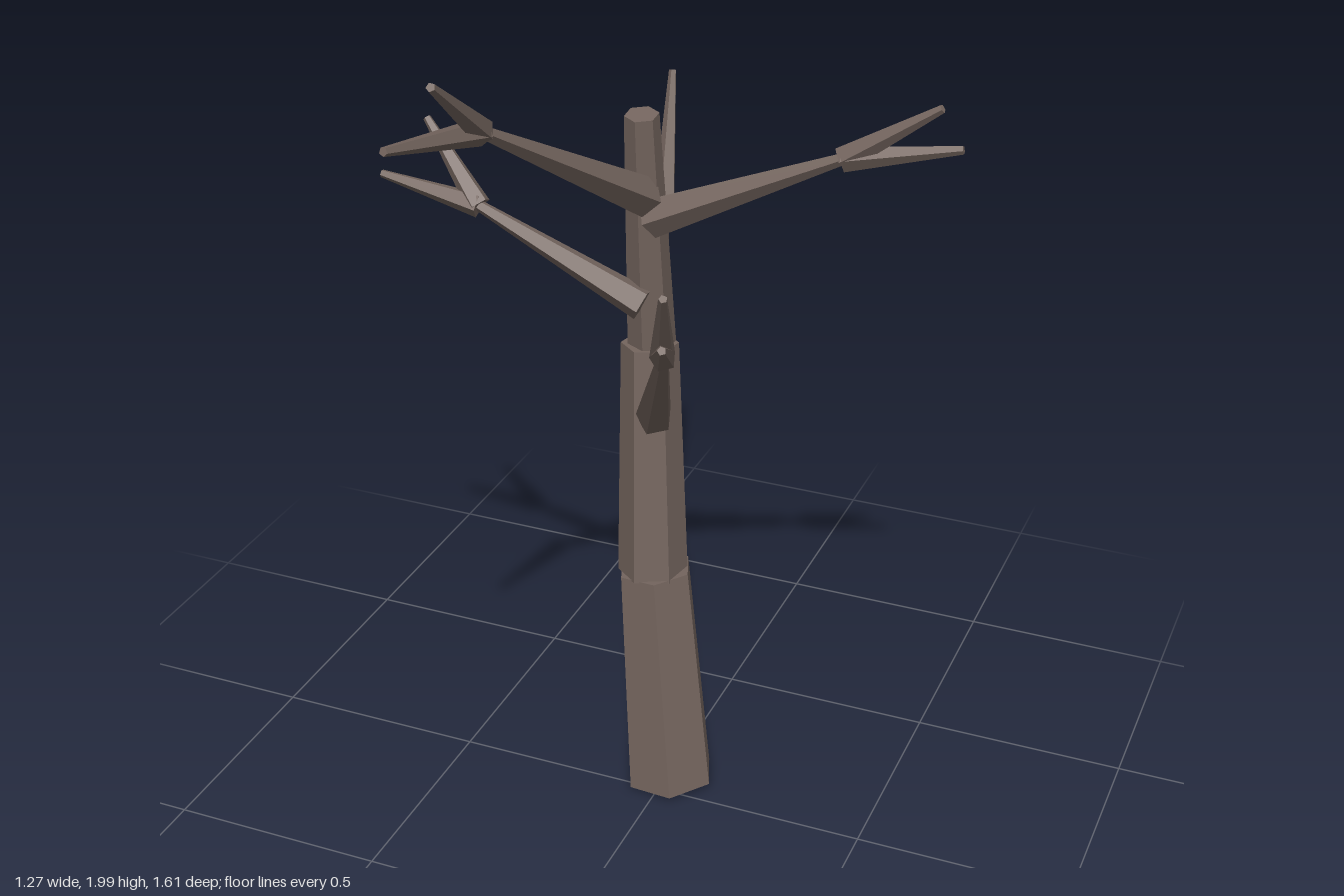
import * as THREE from 'three';

const bark = new THREE.MeshStandardMaterial({ color: 0x75665f, flatShading: true, roughness: 0.9 });
const UP = new THREE.Vector3(0, 1, 0);

// A straight tapered limb from point a (radius ra) to point b (radius rb)
function limb(name, a, b, ra, rb, sides, twistDeg = 0) {
  const start = new THREE.Vector3(...a);
  const end = new THREE.Vector3(...b);
  const axis = end.clone().sub(start);
  const geometry = new THREE.CylinderGeometry(rb, ra, axis.length(), sides, 1);
  geometry.rotateY(THREE.MathUtils.degToRad(twistDeg));
  const mesh = new THREE.Mesh(geometry, bark);
  mesh.name = name;
  mesh.position.copy(start).add(end).multiplyScalar(0.5);
  mesh.quaternion.setFromUnitVectors(UP, axis.normalize());
  return mesh;
}

// Branch with a fork of two twigs, each thicker at its base than the branch end
function branch(name, base, fork, tips, radius) {
  const group = new THREE.Group();
  group.name = name;
  group.add(limb('bough', base, fork, radius, 0.013, 5));
  tips.forEach((tip) => group.add(limb('twig', fork, tip, 0.028, 0.009, 5)));
  return group;
}

export function createModel() {
  const tree = new THREE.Group();
  tree.name = 'bareTree';

  // Trunk: three stacked six-sided sections, each a little narrower and bent
  tree.add(
    limb('lowerTrunk', [0.008, 0.011, -0.06], [-0.036, 0.575, -0.07], 0.108, 0.088, 6, 21),
    limb('middleTrunk', [-0.04, 0.57, -0.068], [-0.053, 1.14, -0.083], 0.08, 0.064, 6, 50),
    limb('upperTrunk', [-0.05, 1.13, -0.088], [-0.04, 1.695, -0.01], 0.054, 0.037, 6, 0),
  );

  // Branches spread around the trunk
  const branches = [
    ['leftBranch', [-0.03, 1.46, -0.03], [0.39, 1.655, -0.03],
      [[0.59, 1.79, -0.025], [0.63, 1.7, -0.053]], 0.045],
    ['topFrontBranch', [-0.035, 1.515, -0.01], [-0.155, 1.815, 0.49],
      [[-0.12, 1.99, 0.745], [-0.19, 1.88, 0.8]], 0.045],
    ['rightBranch', [-0.04, 1.265, -0.01], [-0.41, 1.445, 0.015],
      [[-0.55, 1.61, -0.03], [-0.635, 1.49, 0.03]], 0.038],
    ['frontLeftBranch', [-0.025, 0.98, -0.04], [0.135, 1.31, 0.3],
      [[0.2, 1.52, 0.46], [0.22, 1.44, 0.515]], 0.042],
    ['backBranch', [-0.065, 0.985, -0.13], [-0.2, 1.26, -0.525],
      [[-0.23, 1.56, -0.65], [-0.34, 1.38, -0.8]], 0.042],
  ];
  branches.forEach((spec) => tree.add(branch(...spec)));

  return tree;
}
